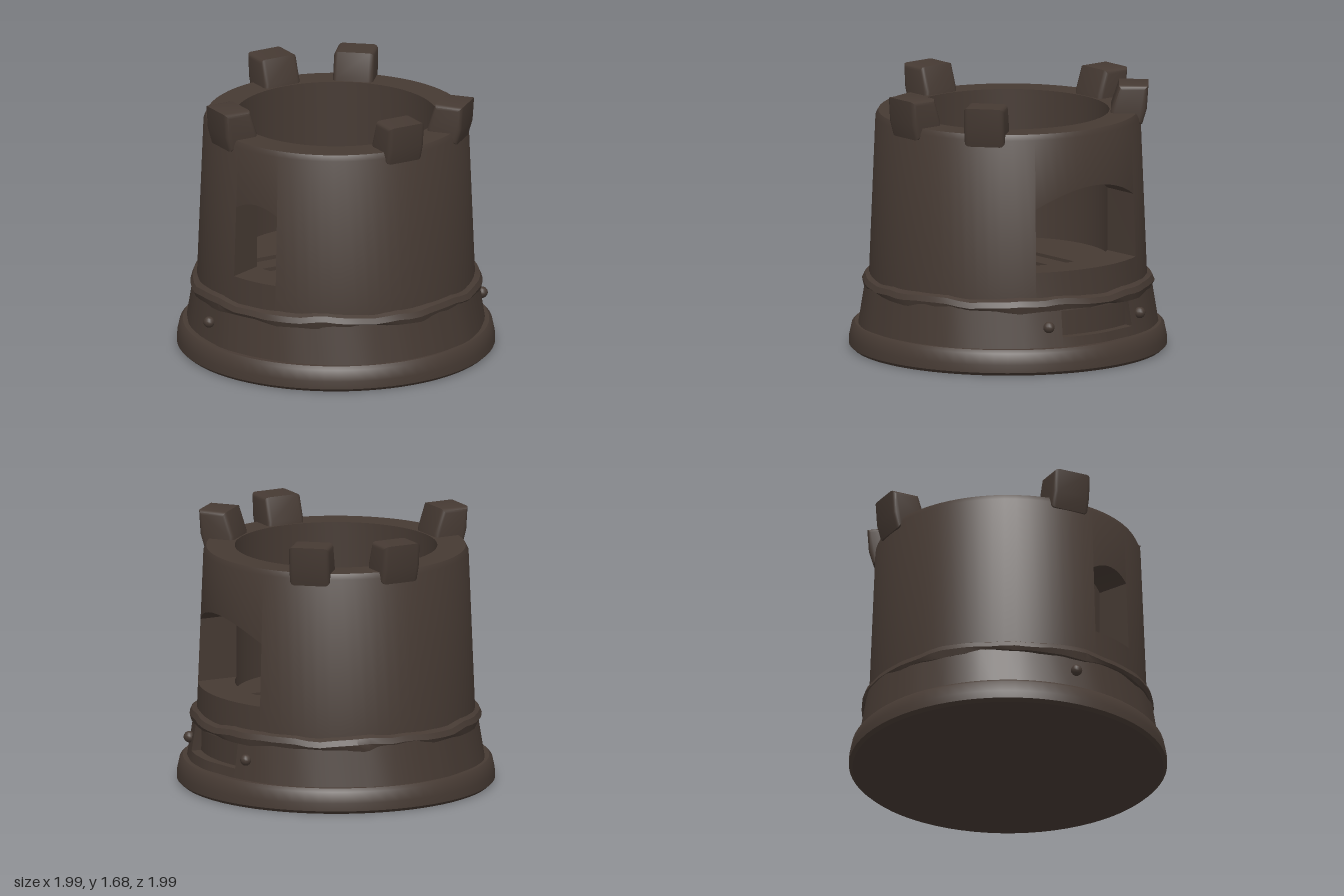
import * as THREE from 'three';
import { toCreasedNormals } from 'three/addons/utils/BufferGeometryUtils.js';

const stone = new THREE.MeshStandardMaterial({ color: 0x463a33 });
stone.name = 'dark stone';

// Repeatable waviness around the ring, about -1 to 1
const wave = (a, s = 0) =>
  0.5 * Math.sin(7 * a + s) + 0.3 * Math.sin(13 * a + 2 * s + 1) + 0.2 * Math.sin(23 * a + s + 2);

// Thick ring wall pierced by openings {c: centre angle, hw: half width, sill, top(u)}.
// Jambs run straight through the wall, parallel to the opening's axis.
function ringWall({ y0, y1, rOut, rIn, openings, chamfer = 0 }) {
  const cols = [];
  const rRef = rOut((y0 + y1) / 2, 0);
  const edge = (o, u) => ({
    ao: o.c + Math.asin((u * o.hw) / rRef),
    ai: o.c + Math.asin((u * o.hw) / rIn),
  });
  openings.forEach((o, k) => {
    const n = 12;
    for (let i = 0; i < n; i++) {
      const u = -1 + (2 * i) / n, v = -1 + (2 * (i + 1)) / n;
      cols.push({ p: edge(o, u), q: edge(o, v), o, tp: o.top(u), tq: o.top(v), first: i === 0, last: i === n - 1 });
    }
    const next = openings[(k + 1) % openings.length];
    const turn = k + 1 === openings.length ? 2 * Math.PI : 0;
    const s = edge(o, 1), e = edge(next, -1);
    const m = Math.ceil((e.ao + turn - s.ao) / 0.09);
    const mix = (t) => ({ ao: s.ao + (e.ao + turn - s.ao) * t, ai: s.ai + (e.ai + turn - s.ai) * t });
    for (let i = 0; i < m; i++) cols.push({ p: mix(i / m), q: mix((i + 1) / m) });
  });

  const pos = [];
  const quad = (a, b, c, d) => pos.push(...a, ...b, ...c, ...a, ...c, ...d);
  const at = (r, a, y) => [r * Math.cos(a), y, r * Math.sin(a)];
  const out = (e, y) => at(rOut(y, e.ao), e.ao, y);
  const inn = (e, y) => at(rIn, e.ai, y);
  const yc = y1 - chamfer;
  const faces = (p, q, bp, bq, tp, tq) => {
    quad(out(p, bp), out(p, tp), out(q, tq), out(q, bq));
    quad(inn(q, bq), inn(q, tq), inn(p, tp), inn(p, bp));
  };
  for (const { p, q, o, tp, tq, first, last } of cols) {
    if (o) {
      faces(p, q, y0, y0, o.sill, o.sill);
      faces(p, q, tp, tq, yc, yc);
      quad(inn(p, o.sill), inn(q, o.sill), out(q, o.sill), out(p, o.sill));
      quad(out(p, tp), out(q, tq), inn(q, tq), inn(p, tp));
      if (first) quad(out(p, o.sill), out(p, tp), inn(p, tp), inn(p, o.sill));
      if (last) quad(out(q, o.sill), inn(q, o.sill), inn(q, tq), out(q, tq));
    } else faces(p, q, y0, y0, yc, yc);
    // Rim: small outer chamfer, then the flat top
    const rim = (e) => at(rOut(yc, e.ao) - chamfer * 0.5, e.ao, y1);
    if (chamfer) {
      quad(out(p, yc), rim(p), rim(q), out(q, yc));
      quad(inn(q, yc), inn(q, y1), inn(p, y1), inn(p, yc));
    }
    quad(inn(p, y1), inn(q, y1), rim(q), rim(p));
  }
  const g = new THREE.BufferGeometry();
  g.setAttribute('position', new THREE.Float32BufferAttribute(pos, 3));
  return toCreasedNormals(g, 0.6);
}

// Lathe with optional wobble of each vertex
function turned(points, wobble) {
  const g = new THREE.LatheGeometry(points.map(([r, y]) => new THREE.Vector2(r, y)), 72);
  if (wobble) {
    const p = g.attributes.position;
    for (let i = 0; i < p.count; i++) {
      const x = p.getX(i), z = p.getZ(i), r = Math.hypot(x, z), a = Math.atan2(z, x);
      const [dr, dy] = wobble(a, p.getY(i));
      p.setXYZ(i, (x * (r + dr)) / r, p.getY(i) + dy, (z * (r + dr)) / r);
    }
  }
  return toCreasedNormals(g, 0.6);
}

export function createModel() {
  const model = new THREE.Group();
  model.name = 'ruinedTower';
  const add = (name, geometry) => {
    const mesh = new THREE.Mesh(geometry, stone);
    mesh.name = name;
    model.add(mesh);
    return mesh;
  };

  // Round foot and solid core under the floor
  add('foot', turned([[0, 0], [0.975, 0], [0.997, 0.02], [0.995, 0.07], [0.98, 0.14], [0.96, 0.16], [0.85, 0.165]]));
  add('core', new THREE.CylinderGeometry(0.85, 0.86, 0.4, 64)).position.y = 0.3;

  // Flared skirt with a sunken panel on the left side
  add('skirt', ringWall({
    y0: 0.14, y1: 0.42, rIn: 0.83,
    rOut: (y, a) => 0.95 - 0.16 * (y - 0.14) - 0.02 * Math.cos(a) ** 2 + 0.008 * wave(a),
    openings: [{ c: 0, hw: 0.28, sill: 0.22, top: () => 0.385 }],
  }));

  // Ragged lip above the skirt
  add('lip', turned(
    [[0.86, 0.38], [0.905, 0.39], [0.915, 0.42], [0.9, 0.455], [0.86, 0.475]],
    (a, y) => [0.008 * wave(a, 3), 0.014 * wave(a, y < 0.41 ? 1 : 5)],
  ));

  // Main wall with a wide arched window and a narrow one opposite
  add('wall', ringWall({
    y0: 0.44, y1: 1.505, rIn: 0.635, chamfer: 0.035,
    rOut: (y) => 0.872 - 0.04 * (y - 0.44),
    openings: [
      { c: 0, hw: 0.4, sill: 0.63, top: (u) => 1.15 - 0.12 * u * u },
      { c: Math.PI * 0.875, hw: 0.16, sill: 0.63, top: (u) => 1.13 - 0.05 * u * u },
    ],
  }));

  // Plank floor: a disc with long gaps
  const floor = new THREE.Shape().absarc(0, 0, 0.66, 0, Math.PI * 2);
  for (const z of [-0.37, -0.2, -0.005, 0.185, 0.36]) {
    const h = Math.min(0.6, Math.sqrt(0.63 ** 2 - z * z) + 0.02);
    floor.holes.push(new THREE.Path().setFromPoints([
      new THREE.Vector2(-h, -z - 0.032), new THREE.Vector2(-h, -z + 0.032),
      new THREE.Vector2(h, -z + 0.032), new THREE.Vector2(h, -z - 0.032),
    ]));
  }
  const planks = new THREE.ExtrudeGeometry(floor, { depth: 0.06, bevelEnabled: false, curveSegments: 48 });
  planks.rotateX(-Math.PI / 2);
  add('plankFloor', planks).position.y = 0.5;

  // Battlement blocks leaning outward over the rim
  const profile = new THREE.Shape([
    [0.64, 1.44], [0.645, 1.53], [0.695, 1.68], [0.88, 1.68], [0.87, 1.53], [0.84, 1.43],
  ].map(([x, y]) => new THREE.Vector2(x, y)));
  const block = new THREE.ExtrudeGeometry(profile, {
    depth: 0.2, bevelThickness: 0.028, bevelSize: 0.028, bevelOffset: -0.028, bevelSegments: 3,
  });
  block.translate(0, 0, -0.1);
  const blockGeometry = toCreasedNormals(block, 0.7);
  for (const deg of [180, 90, -90, 50, -50]) {
    add('battlement', blockGeometry).rotation.y = -THREE.MathUtils.degToRad(deg);
  }

  // Studs beside the panel and on the opposite side
  const stud = new THREE.SphereGeometry(0.036, 12, 8);
  for (const [x, z] of [[0.845, 0.37], [0.845, -0.37], [-0.925, 0]]) {
    add('stud', stud).position.set(x, 0.29, z);
  }
  return model;
}
